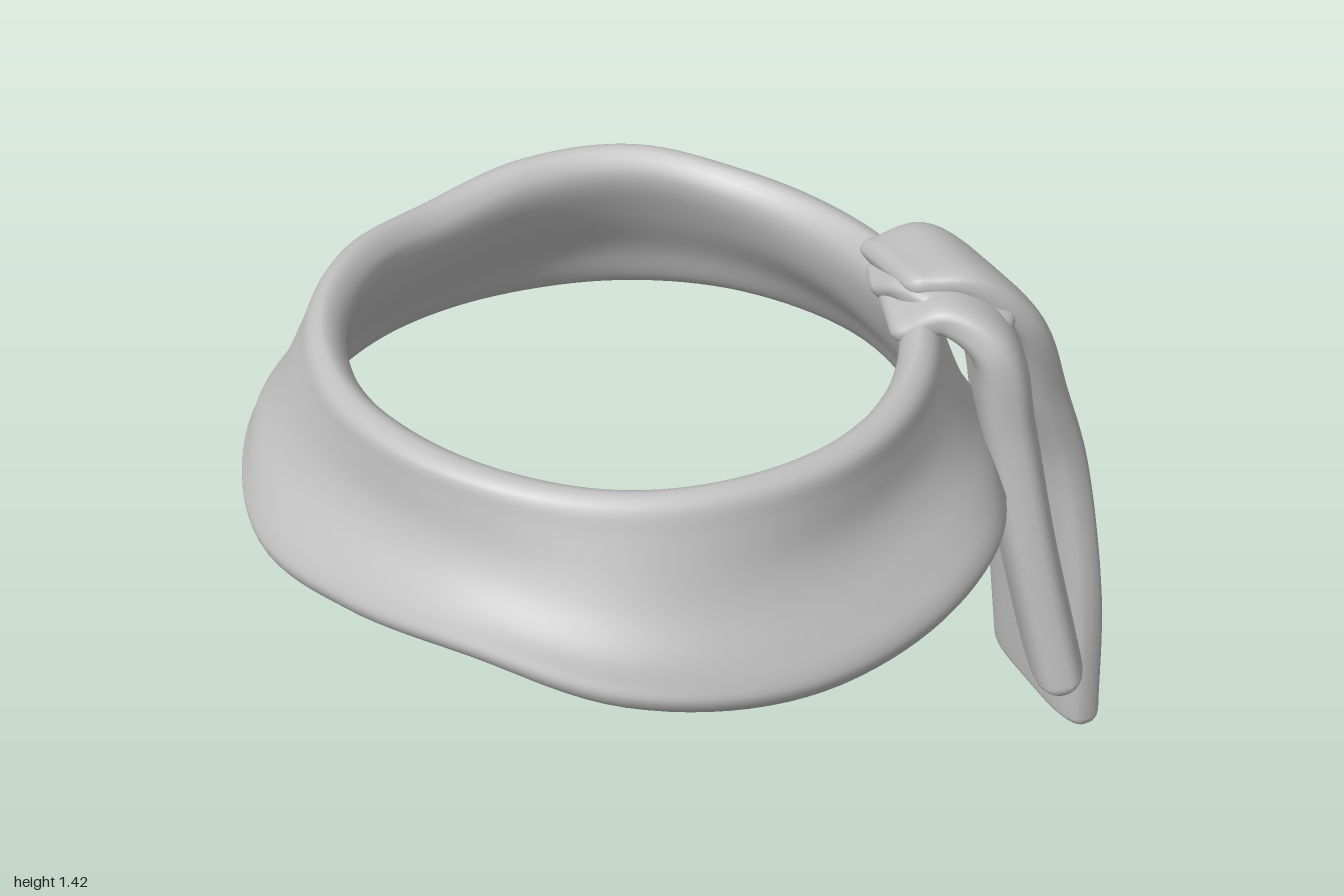
import * as THREE from 'three';

const V = (p) => new THREE.Vector3(...p);

// Skin a list of closed cross-sections; optionally join the last to the first, otherwise cap the ends
function loft(rows, closed) {
  const n = rows[0].length, m = rows.length, pos = [], idx = [];
  rows.forEach((r) => r.forEach((p) => pos.push(p.x, p.y, p.z)));
  for (let i = 0; i < (closed ? m : m - 1); i++) {
    for (let j = 0; j < n; j++) {
      const a = i * n + j, b = i * n + ((j + 1) % n);
      const c = ((i + 1) % m) * n + j, d = ((i + 1) % m) * n + ((j + 1) % n);
      idx.push(a, b, c, b, d, c);
    }
  }
  if (!closed) {
    for (let j = 1; j < n - 1; j++) {
      const e = (m - 1) * n;
      idx.push(0, j + 1, j, e, e + j, e + j + 1);
    }
  }
  // Turn the faces outward if the enclosed volume is negative
  let volume = 0;
  const at = (k) => new THREE.Vector3().fromArray(pos, k * 3);
  for (let k = 0; k < idx.length; k += 3) volume += at(idx[k]).dot(at(idx[k + 1]).cross(at(idx[k + 2])));
  if (volume < 0) idx.reverse();
  const g = new THREE.BufferGeometry();
  g.setAttribute('position', new THREE.Float32BufferAttribute(pos, 3));
  g.setIndex(idx);
  g.computeVertexNormals();
  return g;
}

// Smooth periodic interpolation of evenly spaced values, t in 0..1
function cyclic(values, t) {
  const n = values.length, f = t * n, i = Math.floor(f), u = f - i;
  const [a, b, c, d] = [-1, 0, 1, 2].map((k) => values[(i + k + n) % n]);
  return b + 0.5 * u * (c - a + u * (2 * a - 5 * b + 4 * c - d + u * (3 * (b - c) + d - a)));
}

// Flared neck band; values run front, left (+x), back, right in equal steps
function bandGeometry() {
  const outer = [0.892, 0.9, 0.94, 0.945, 0.928, 0.92, 0.88, 0.91, 0.93, 0.91, 0.92, 0.935, 0.932, 0.915, 0.92, 0.925];
  const inner = [0.65, 0.66, 0.64, 0.62, 0.61, 0.64, 0.645, 0.66];
  const low = [0.91, 0.935, 0.88, 0.845, 0.845, 0.87, 0.85, 0.805, 0.86, 0.9, 0.9, 0.89, 0.9, 0.92, 0.925, 0.885];
  const high = [1.325, 1.32, 1.31, 1.31, 1.31, 1.32, 1.34, 1.34, 1.335, 1.35, 1.385, 1.37, 1.325, 1.345, 1.34, 1.325];
  const rows = [];
  for (let i = 0; i < 128; i++) {
    const t = i / 128, a = t * Math.PI * 2;
    const R = cyclic(outer, t), r = cyclic(inner, t), y0 = cyclic(low, t), h = cyclic(high, t) - y0;
    const full = Math.sin(2 * a) ** 2; // the cloth slopes straight at the diagonals, pinches in between
    const top = r + 0.105 - 0.012 * full, mix = (k) => top + (R - top) * k;
    const profile = [
      [r, 0.88], [r + 0.045, 1], [top - 0.01, 0.96], [mix(0.01 + 0.1 * full), 0.82], [mix(0.1 + 0.24 * full), 0.62],
      [mix(0.3 + 0.24 * full), 0.47], [mix(0.68 + 0.14 * full), 0.3], [R - 0.012, 0.19], [R, 0.11], [R - 0.02, 0.025],
      [R - 0.06, 0], [R - 0.11, 0.06], [mix(0.5 + 0.1 * full) - 0.08, 0.3], [r + 0.03 + 0.015 * full, 0.6],
    ].map(([x, y]) => new THREE.Vector3(x, y0 + h * y, 0));
    const section = new THREE.CatmullRomCurve3(profile, true).getPoints(56).slice(0, -1);
    rows.push(section.map((p) => new THREE.Vector3(Math.sin(a) * p.x, p.y, 0.1 + Math.cos(a) * p.x)));
  }
  return loft(rows, true);
}

// Soft strip between two edge paths, thickening from start to end, with rounded ends
function stripGeometry(edgeA, edgeB, halfStart, halfEnd) {
  const A = new THREE.CatmullRomCurve3(edgeA.map(V)), B = new THREE.CatmullRomCurve3(edgeB.map(V));
  const rows = [], steps = 48, roll = 5;
  const section = (t, s) => {
    const a = A.getPoint(t), b = B.getPoint(t);
    const mid = a.clone().add(b).multiplyScalar(0.5);
    const tangent = A.getTangent(t).add(B.getTangent(t)).normalize();
    const across = b.clone().sub(a), w = across.length() / 2;
    across.normalize();
    const normal = tangent.clone().cross(across).normalize();
    const half = halfStart + (halfEnd - halfStart) * Math.min(1, t * 2);
    const k = Math.cos(s * 1.5), push = Math.sin(s * 1.5) * 0.035;
    const row = [];
    for (let j = 0; j < 32; j++) {
      const q = (j / 32) * Math.PI * 2, c = Math.cos(q), d = Math.sin(q);
      const x = Math.sign(c) * Math.sqrt(Math.abs(c)) * (w - 0.035 * (1 - k));
      const z = Math.sign(d) * Math.pow(Math.abs(d), 0.7) * half * k;
      row.push(mid.clone().addScaledVector(across, x).addScaledVector(normal, z).addScaledVector(tangent, push));
    }
    return row;
  };
  for (let i = -roll; i < 0; i++) rows.push(section(0, i / roll));
  for (let i = 0; i <= steps; i++) rows.push(section(i / steps, 0));
  for (let i = 1; i <= roll; i++) rows.push(section(1, i / roll));
  return loft(rows, false);
}

export function createModel() {
  const group = new THREE.Group();
  const cloth = new THREE.MeshStandardMaterial({ color: 0xbfbfbf });
  cloth.name = 'greyCloth';
  const add = (name, geometry) => {
    const mesh = new THREE.Mesh(geometry, cloth);
    mesh.name = name;
    group.add(mesh);
  };

  add('neckBand', bandGeometry());

  // Long tail folds over the knot and hangs behind
  add('longTail', stripGeometry(
    [[0.2, 1.34, -0.5], [0.25, 1.36, -0.6], [0.28, 1.24, -0.71], [0.28, 1.0, -0.81], [0.275, 0.8, -0.86], [0.3, 0.4, -0.93], [0.33, 0.035, -0.965]],
    [[0.48, 1.39, -0.38], [0.57, 1.38, -0.47], [0.65, 1.26, -0.58], [0.66, 1.0, -0.69], [0.68, 0.8, -0.76], [0.74, 0.4, -0.79], [0.75, 0.035, -0.805]],
    0.035, 0.06));

  // Short tail slips out from under the knot to the side
  add('shortTail', stripGeometry(
    [[0.33, 1.31, -0.43], [0.41, 1.34, -0.5], [0.46, 1.26, -0.6], [0.49, 1.05, -0.645], [0.53, 0.75, -0.68], [0.6, 0.415, -0.725]],
    [[0.5, 1.3, -0.3], [0.58, 1.34, -0.35], [0.69, 1.28, -0.395], [0.74, 1.05, -0.42], [0.82, 0.75, -0.435], [0.915, 0.415, -0.46]],
    0.03, 0.065));

  // Small fold pinched under the knot
  add('knotFold', stripGeometry(
    [[0.25, 1.31, -0.47], [0.35, 1.35, -0.47], [0.48, 1.37, -0.5], [0.58, 1.31, -0.55]],
    [[0.35, 1.31, -0.38], [0.42, 1.35, -0.36], [0.53, 1.34, -0.37], [0.64, 1.28, -0.44]],
    0.03, 0.03));

  return group;
}
